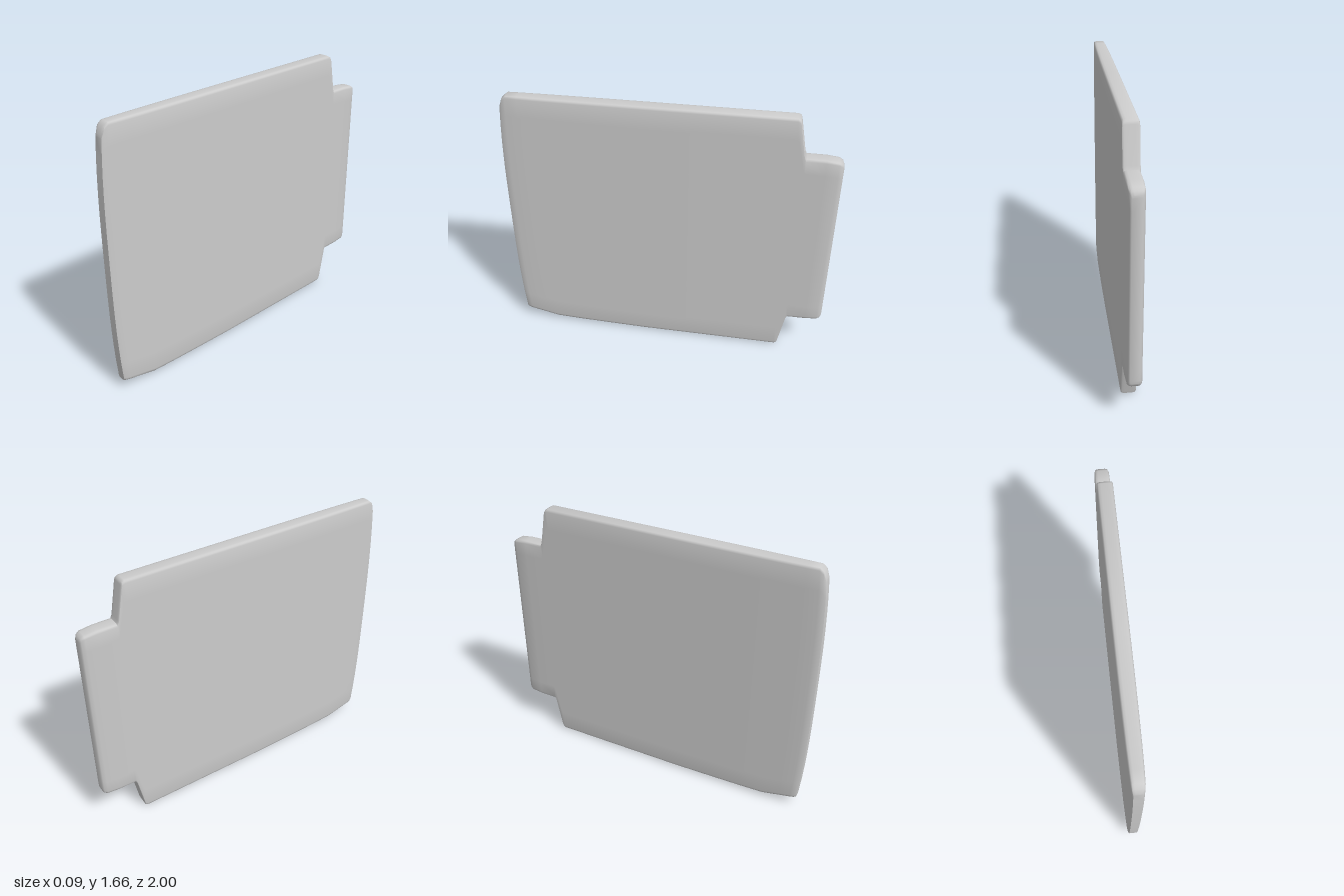
import * as THREE from 'three';
import { toCreasedNormals } from 'three/addons/utils/BufferGeometryUtils.js';

// Stations from back to front: z, bottom, top, half thickness
const stations = [
  [-1, 0.28, 1.38, 0.027], [-0.992, 0.262, 1.4, 0.036], [-0.972, 0.252, 1.412, 0.043],
  [-0.9, 0.246, 1.42, 0.045], [-0.787, 0.245, 1.42, 0.045], [-0.778, 0.225, 1.44, 0.045],
  [-0.741, 0.025, 1.64, 0.045], [-0.735, 0.007, 1.655, 0.045], [-0.72, 0, 1.663, 0.045],
  [0.15, 0.004, 1.663, 0.045], [0.4, 0.01, 1.663, 0.0445], [0.6, 0.015, 1.663, 0.043],
  [0.76, 0.021, 1.663, 0.041], [0.88, 0.045, 1.663, 0.0385], [0.96, 0.059, 1.663, 0.036],
  [0.985, 0.064, 1.645, 0.033], [1, 0.067, 1.6, 0.026],
];
// Rounded edge: fraction of half thickness, inset in y
const edge = [[0.5, 0], [0.8, 0.003], [0.93, 0.009], [1, 0.022]];
const rows = 14;

// Counter-clockwise rounded section, with rows up the flat sides
function section([z, b, t, w]) {
  const right = edge.map(([f, d]) => [f * w, b + d]);
  for (let i = 1; i < rows; i++) {
    right.push([w, THREE.MathUtils.lerp(b + 0.022, t - 0.016, i / rows)]);
  }
  for (const [f, d] of [...edge].reverse()) right.push([f * w, t - d * 0.73]);
  const left = right.map(([x, y]) => [-x, y]).reverse();
  // The front edge bows back towards its top and bottom
  const bow = THREE.MathUtils.clamp((z - 0.8) / 0.2, 0, 1) * 0.025;
  return [...right, ...left].map(([x, y]) => [x, y, z - bow * Math.abs((y - 0.84) / 0.77) ** 3]);
}

function plateGeometry() {
  const loops = stations.map(section);
  const n = loops[0].length;
  const positions = loops.flat(2);
  const index = [];
  for (let i = 0; i < loops.length - 1; i++) {
    for (let j = 0; j < n; j++) {
      const k = (j + 1) % n;
      const a = i * n + j, b = i * n + k, c = b + n, d = a + n;
      index.push(a, b, c, a, c, d);
    }
  }
  // End caps: strips joining the mirrored halves of the loop
  const last = (loops.length - 1) * n;
  for (let j = 0; j < n / 2 - 1; j++) {
    const a = j, b = j + 1, c = n - 2 - j, d = n - 1 - j;
    index.push(a, c, b, a, d, c);
    index.push(last + a, last + b, last + c, last + a, last + c, last + d);
  }
  const geometry = new THREE.BufferGeometry();
  geometry.setAttribute('position', new THREE.Float32BufferAttribute(positions, 3));
  geometry.setIndex(index);
  return toCreasedNormals(geometry, 0.8);
}

export function createModel() {
  const group = new THREE.Group();
  group.name = 'notchedPanel';
  // Thin plate with a narrower tab at the back
  const plate = new THREE.Mesh(plateGeometry(), new THREE.MeshStandardMaterial({ color: 0xcccccc }));
  plate.name = 'plate';
  group.add(plate);
  return group;
}
